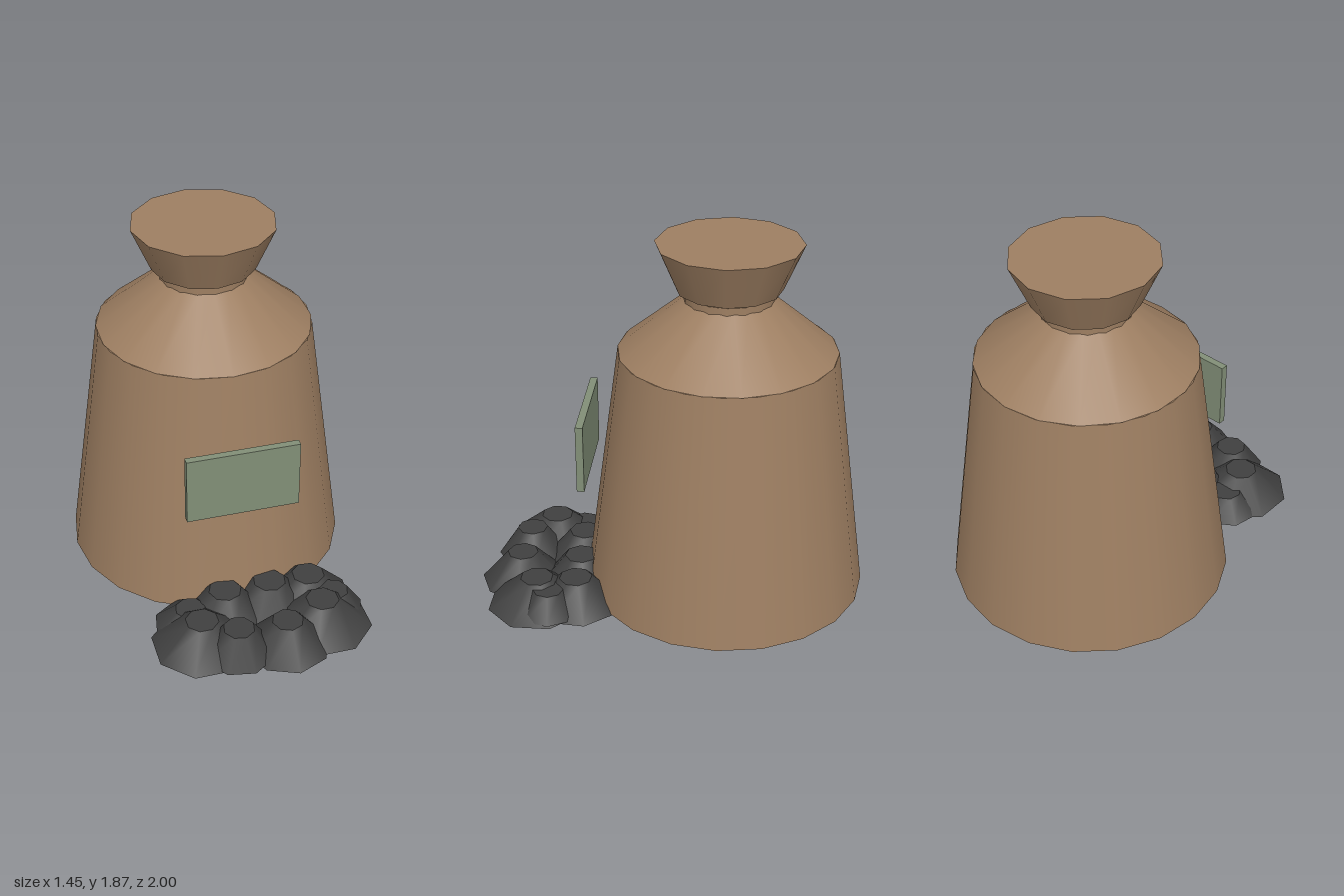
import * as THREE from 'three';

const material = (name, color) => {
  const m = new THREE.MeshStandardMaterial({ color });
  m.name = name;
  return m;
};

export function createModel() {
  const group = new THREE.Group();
  const cloth = material('brown cloth', 0x9e7f62);
  const label = material('sage label', 0x828f77);
  const coal = material('charcoal', 0x404040);

  const add = (name, geometry, mat, x, y, z) => {
    const mesh = new THREE.Mesh(geometry, mat);
    mesh.name = name;
    mesh.position.set(x, y, z);
    group.add(mesh);
    return mesh;
  };

  // Tapered sack section standing between two heights
  const sackZ = -0.275;
  const section = (name, rTop, rBottom, y0, y1, sides) =>
    add(name, new THREE.CylinderGeometry(rTop, rBottom, y1 - y0, sides), cloth, 0, (y0 + y1) / 2, sackZ);

  section('sackBody', 0.55, 0.725, 0.015, 1.315, 20);
  section('sackShoulder', 0.205, 0.55, 1.315, 1.605, 18);
  section('sackNeck', 0.225, 0.225, 1.56, 1.625, 16);
  section('sackMouth', 0.365, 0.265, 1.642, 1.872, 12);

  // Flat label floating in front of the sack
  add('label', new THREE.BoxGeometry(0.576, 0.36, 0.038), label, 0, 0.81, 0.44);

  // Coal heap: x, z, base radius, top radius, base height, top height, turn
  const lumps = [
    [-0.27, 0.66, 0.26, 0.085, 0.01, 0.157, 0.39],
    [-0.11, 0.77, 0.185, 0.08, 0.015, 0.165, 0.2],
    [0.14, 0.78, 0.22, 0.08, 0.005, 0.165, 0],
    [0.36, 0.67, 0.26, 0.085, 0.005, 0.157, 0.39],
    [0.44, 0.6, 0.165, 0.08, 0.02, 0.14, 0.1],
    [0.35, 0.47, 0.23, 0.085, 0.01, 0.16, 0.3],
    [0.14, 0.47, 0.21, 0.085, 0.01, 0.165, 0.2],
    [-0.1, 0.48, 0.22, 0.085, 0, 0.165, 0],
    [-0.29, 0.51, 0.19, 0.08, 0.01, 0.11, 0.2],
  ];
  lumps.forEach(([x, z, rBase, rTop, y0, y1, turn], i) => {
    const lump = add(`coalLump${i + 1}`, new THREE.CylinderGeometry(rTop, rBase, y1 - y0, 8), coal, x, (y0 + y1) / 2, z);
    lump.rotation.y = turn;
  });

  return group;
}
